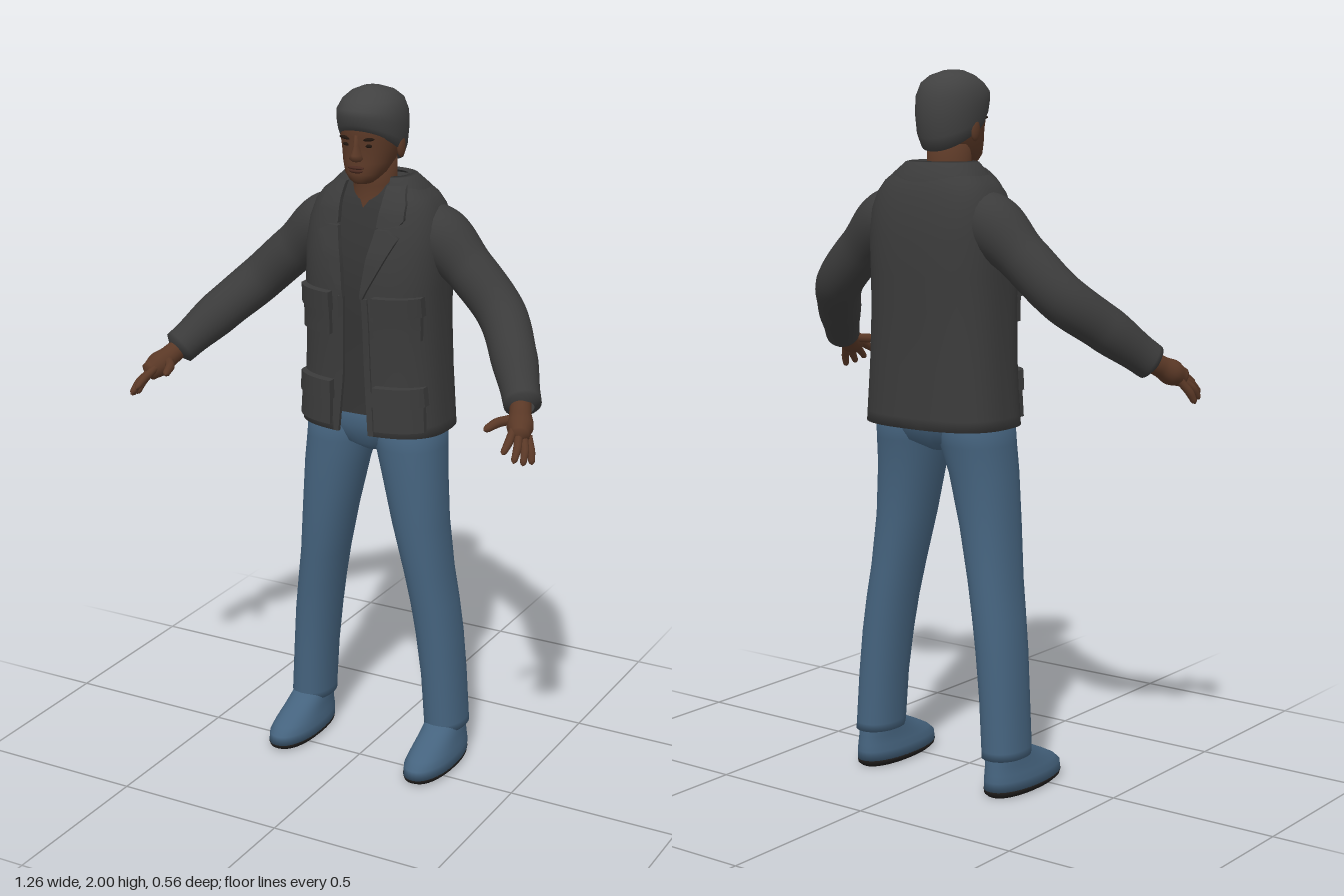
import * as THREE from 'three';
import { mergeVertices } from 'three/addons/utils/BufferGeometryUtils.js';

const mat = (name, color) => {
  const m = new THREE.MeshStandardMaterial({ color, side: THREE.DoubleSide });
  m.name = name;
  return m;
};
const M = {
  jacket: mat('jacket charcoal', 0x3b3b3b),
  shirt: mat('shirt dark grey', 0x343434),
  hair: mat('hair grey', 0x414141),
  skin: mat('skin brown', 0x5a3826),
  lips: mat('lip brown', 0x4a2a20),
  dark: mat('eye dark', 0x21160f),
  jeans: mat('denim blue', 0x45637e),
  sole: mat('sole black', 0x1d1b1a),
};
const lerp = THREE.MathUtils.lerp;

// Horizontal cross-sections: [y, centreX, halfWidth, frontZ, backZ, frontGap, tilt]
const torsoRings = [
  [1.035, 0, 0.205, 0.02, -0.26, 0.05], [1.03, 0, 0.222, 0.035, -0.278, 0.048],
  [1.06, 0, 0.22, 0.034, -0.277, 0.045], [1.2, 0, 0.211, 0.03, -0.272, 0.035],
  [1.35, 0, 0.205, 0.035, -0.271, 0.03], [1.45, 0, 0.205, 0.042, -0.275, 0.03],
  [1.55, 0, 0.208, 0.03, -0.273, 0.045], [1.62, 0, 0.202, 0.01, -0.264, 0.06],
  [1.67, 0, 0.185, -0.005, -0.25, 0.065], [1.70, 0, 0.163, -0.02, -0.237, 0.065],
  [1.73, 0, 0.125, -0.04, -0.215, 0.065], [1.75, 0, 0.09, -0.06, -0.19, 0.06],
];
const shirtGap = [0, 0, 0, 0, 0, 0, 0, 0, 0.02, 0.04, 0.055, 0.058];
const shirtRings = torsoRings.slice(2).map(([y, x, w, f, b], i) =>
  [Math.max(y, 1.085), x, w - 0.014, f - 0.014, b + 0.014, shirtGap[i + 1]]);
const headRings = [
  [1.742, 0, 0.024, 0.008, -0.06], [1.752, 0, 0.037, 0.019, -0.075], [1.77, 0, 0.054, 0.024, -0.1],
  [1.80, 0, 0.068, 0.021, -0.135], [1.84, 0, 0.078, 0.016, -0.155], [1.87, 0, 0.082, 0.022, -0.165],
  [1.91, 0, 0.083, 0.02, -0.17], [1.95, 0, 0.07, 0.0, -0.15], [1.975, 0, 0.04, -0.03, -0.11],
];

function loft(name, rings, material, { e = 1, n = 40, caps = true } = {}) {
  const all = rings.slice();
  if (caps) {
    const tip = ([y, x, , f, b]) => [y, x, 0.0005, (f + b) / 2 + 0.0005, (f + b) / 2 - 0.0005];
    all.unshift(tip(rings[0]));
    all.push(tip(rings[rings.length - 1]));
  }
  const pos = [], idx = [];
  all.forEach(([y, cx, w, f, b, gap = 0, tilt = 0]) => {
    const t0 = Math.asin(Math.min(1, (gap / w) ** (1 / e)));
    for (let i = 0; i <= n; i++) {
      const t = (i === n && !gap) ? 0 : lerp(t0, 2 * Math.PI - t0, i / n);
      const s = Math.sin(t), c = Math.cos(t);
      pos.push(cx + w * Math.sign(s) * Math.abs(s) ** e, y + tilt * c,
        (f + b) / 2 + (f - b) / 2 * Math.sign(c) * Math.abs(c) ** e);
    }
  });
  for (let j = 0; j < all.length - 1; j++) for (let i = 0; i < n; i++) {
    const a = j * (n + 1) + i, d = a + n + 1;
    idx.push(a, a + 1, d, a + 1, d + 1, d);
  }
  let g = new THREE.BufferGeometry();
  g.setAttribute('position', new THREE.Float32BufferAttribute(pos, 3));
  g.setIndex(idx);
  g = mergeVertices(g, 1e-5);
  g.computeVertexNormals();
  return named(name, g, material);
}

function named(name, geometry, material) {
  const m = new THREE.Mesh(geometry, material);
  m.name = name;
  return m;
}

// Front depth of a lofted body at (x, y)
function frontZ(rings, x, y, e) {
  let k = 1;
  while (k < rings.length - 2 && rings[k + 1][0] < y) k++;
  const a = rings[k], b = rings[k + 1];
  const t = THREE.MathUtils.clamp((y - a[0]) / (b[0] - a[0]), 0, 1);
  const [w, f, r] = [2, 3, 4].map(i => lerp(a[i], b[i], t));
  const q = Math.min(1, Math.abs(x) / w) ** (2 / e);
  return (f + r) / 2 + (f - r) / 2 * (1 - q) ** (e / 2);
}

// Cloth panel laid on the jacket front; rows are [y, innerX, outerX]
function panel(name, rows, thick, s) {
  const g = new THREE.BoxGeometry(1, 1, 1, 8, 10, 1), p = g.attributes.position;
  const y0 = rows[0][0], y1 = rows[rows.length - 1][0];
  for (let i = 0; i < p.count; i++) {
    const y = lerp(y0, y1, p.getY(i) + 0.5), u = p.getX(i) + 0.5;
    let k = 0;
    while (k < rows.length - 2 && rows[k + 1][0] < y) k++;
    const [a, b] = [rows[k], rows[k + 1]], t = (y - a[0]) / (b[0] - a[0]);
    const xi = lerp(a[1], b[1], t), xo = lerp(a[2], b[2], t);
    const x = s > 0 ? lerp(xi, xo, u) : lerp(-xo, -xi, u);
    p.setXYZ(i, x, y, frontZ(torsoRings, x, y, 0.75) - 0.006 + (p.getZ(i) + 0.5) * (thick + 0.006));
  }
  g.computeVertexNormals();
  return named(name, g, M.jacket);
}

// Tapered tube through [x, y, z, radius] points
function limb(name, pts, material, s, radial = 20, seg = 32) {
  const curve = new THREE.CatmullRomCurve3(pts.map(([x, y, z]) => new THREE.Vector3(x * s, y, z)));
  const g = new THREE.TubeGeometry(curve, seg, 1, radial), p = g.attributes.position;
  const lens = curve.getLengths(200), total = lens[200], v = new THREE.Vector3();
  const at = pts.map((_, i) => lens[Math.round(200 * i / (pts.length - 1))] / total);
  for (let i = 0; i < p.count; i++) {
    const u = Math.floor(i / (radial + 1)) / seg, c = curve.getPointAt(u);
    let k = 0;
    while (k < pts.length - 2 && at[k + 1] < u) k++;
    const r = lerp(pts[k][3], pts[k + 1][3], THREE.MathUtils.smoothstep(u, at[k], at[k + 1]));
    v.fromBufferAttribute(p, i).sub(c).multiplyScalar(r).add(c);
    p.setXYZ(i, v.x, v.y, v.z);
  }
  g.deleteAttribute('uv');
  g.deleteAttribute('normal');
  const m = mergeVertices(g, 1e-5);
  m.computeVertexNormals();
  return named(name, m, material);
}

function blob(name, material, x, y, z, sx, sy, sz, rz = 0) {
  const m = named(name, new THREE.SphereGeometry(1, 16, 10), material);
  m.position.set(x, y, z);
  m.scale.set(sx, sy, sz);
  m.rotation.z = rz;
  return m;
}

export function createModel() {
  const model = new THREE.Group();
  model.name = 'standingMan';
  const add = (...m) => model.add(...m);

  // Head, face and hair
  add(loft('head', headRings, M.skin, { e: 0.92 }),
    loft('neck', [[1.58, 0, 0.09, -0.01, -0.18], [1.64, 0, 0.085, -0.012, -0.18], [1.69, 0, 0.07, -0.028, -0.165],
      [1.73, 0, 0.06, -0.03, -0.155], [1.80, 0, 0.06, -0.03, -0.155]], M.skin),
    loft('nose', [[1.806, 0, 0.014, 0.03, -0.01], [1.814, 0, 0.02, 0.042, -0.01], [1.824, 0, 0.016, 0.04, -0.01],
      [1.85, 0, 0.009, 0.029, -0.01], [1.878, 0, 0.009, 0.024, -0.01]], M.skin, { n: 16 }),
    blob('upperLip', M.lips, 0, 1.789, 0.021, 0.025, 0.005, 0.009),
    blob('lowerLip', M.lips, 0, 1.78, 0.021, 0.021, 0.006, 0.009),
    loft('hair', [[1.835, 0, 0.083, 0.021, -0.168, 0, 0.055], [1.86, 0, 0.09, 0.031, -0.184, 0, 0.045],
      [1.90, 0, 0.094, 0.036, -0.19, 0, 0.028], [1.935, 0, 0.093, 0.035, -0.188, 0, 0.01],
      [1.965, 0, 0.081, 0.014, -0.17], [1.985, 0, 0.058, -0.014, -0.142], [1.998, 0, 0.026, -0.045, -0.1],
      [2, 0, 0.01, -0.06, -0.085]], M.hair, { e: 0.95 }));

  // Shirt, jacket body, collar band and hips
  add(loft('shirt', shirtRings, M.shirt, { e: 0.75, caps: false }),
    loft('jacketBody', torsoRings, M.jacket, { e: 0.75, n: 64, caps: false }),
    loft('collar', [[1.69, 0, 0.15, -0.02, -0.24, 0.07], [1.72, 0, 0.14, -0.03, -0.23, 0.068],
      [1.752, 0, 0.105, -0.045, -0.202, 0.064], [1.755, 0, 0.092, -0.055, -0.19, 0.062],
      [1.71, 0, 0.078, -0.05, -0.18, 0.06]], M.jacket, { e: 0.85, caps: false }),
    loft('hips', [[0.955, 0, 0.03, -0.06, -0.16], [0.985, 0, 0.11, -0.015, -0.215], [1.04, 0, 0.195, 0.002, -0.235],
      [1.12, 0, 0.185, 0.005, -0.24]], M.jeans, { e: 0.85 }));

  for (const s of [1, -1]) {
    const side = s > 0 ? 'left' : 'right';

    // Eye, brow and ear
    add(blob(side + 'Eye', M.dark, s * 0.033, 1.85, frontZ(headRings, 0.033, 1.85, 0.92), 0.012, 0.005, 0.003),
      blob(side + 'Brow', M.dark, s * 0.034, 1.868, frontZ(headRings, 0.034, 1.868, 0.92), 0.02, 0.005, 0.005, s * 0.12),
      blob(side + 'Ear', M.skin, s * 0.083, 1.838, -0.085, 0.01, 0.031, 0.018));

    // Lapel, collar leaf and flap pockets
    add(panel(side + 'Lapel', [[1.43, 0.026, 0.034], [1.54, 0.04, 0.092], [1.605, 0.055, 0.125], [1.622, 0.058, 0.09]], 0.012, s),
      panel(side + 'CollarLeaf', [[1.628, 0.06, 0.095], [1.642, 0.06, 0.132], [1.69, 0.064, 0.128], [1.735, 0.064, 0.108]], 0.012, s),
      panel(side + 'ChestPocket', [[1.315, 0.07, 0.185], [1.42, 0.07, 0.185]], 0.016, s),
      panel(side + 'ChestFlap', [[1.385, 0.065, 0.19], [1.44, 0.067, 0.188]], 0.026, s),
      panel(side + 'HipPocket', [[1.05, 0.07, 0.198], [1.16, 0.07, 0.193]], 0.016, s),
      panel(side + 'HipFlap', [[1.125, 0.065, 0.2], [1.18, 0.067, 0.195]], 0.026, s),
      panel(side + 'FrontEdge', [[1.032, 0.047, 0.064], [1.2, 0.034, 0.052], [1.43, 0.028, 0.046]], 0.006, s));

    // Sleeve and cuff
    add(limb(side + 'Sleeve', [[0.1, 1.625, -0.135, 0.07], [0.18, 1.585, -0.137, 0.086], [0.28, 1.5, -0.13, 0.07],
      [0.385, 1.4, -0.105, 0.068], [0.465, 1.315, -0.015, 0.064], [0.535, 1.23, 0.08, 0.052],
      [0.545, 1.218, 0.094, 0.051], [0.549, 1.213, 0.1, 0.03]], M.jacket, s, 24, 64));

    // Hand: palm, four fingers and thumb
    const hand = new THREE.Group();
    hand.name = side + 'Hand';
    hand.add(limb('palm', [[0.535, 1.228, 0.085, 0.028], [0.552, 1.205, 0.125, 0.03], [0.568, 1.185, 0.16, 0.036],
      [0.582, 1.168, 0.195, 0.027], [0.586, 1.163, 0.205, 0.002]], M.skin, s, 16, 24));
    const fingers = {
      indexFinger: [[0.562, 1.182, 0.19], [0.57, 1.163, 0.235], [0.572, 1.142, 0.277]],
      middleFinger: [[0.578, 1.172, 0.19], [0.592, 1.148, 0.228], [0.598, 1.118, 0.264]],
      ringFinger: [[0.588, 1.165, 0.18], [0.606, 1.138, 0.211], [0.613, 1.105, 0.237]],
      littleFinger: [[0.594, 1.162, 0.165], [0.612, 1.13, 0.185], [0.622, 1.098, 0.2]],
      thumb: [[0.55, 1.198, 0.14], [0.515, 1.193, 0.185], [0.498, 1.183, 0.235]],
    };
    for (const [name, [a, b, c]] of Object.entries(fingers)) {
      const r = name === 'thumb' ? 0.0135 : 0.0115;
      const mid = a.map((v, i) => (v + b[i]) / 2), far = b.map((v, i) => lerp(v, c[i], 0.8));
      hand.add(limb(name, [[...a, r], [...mid, r], [...b, r], [...far, r * 0.8], [...c, 0.001]], M.skin, s, 10, 16));
    }
    add(hand);

    // Trouser leg
    add(loft(side + 'Leg', [[0.108, 0.226, 0.06, -0.047, -0.212], [0.13, 0.225, 0.06, -0.045, -0.211],
      [0.27, 0.216, 0.061, -0.043, -0.208], [0.4, 0.203, 0.064, -0.036, -0.205], [0.5, 0.189, 0.065, -0.028, -0.203],
      [0.6, 0.172, 0.067, -0.018, -0.199], [0.75, 0.148, 0.078, -0.004, -0.195], [0.9, 0.126, 0.092, 0.001, -0.203],
      [0.98, 0.112, 0.1, 0.003, -0.22], [1.08, 0.1, 0.107, 0.003, -0.235]].map(([y, x, ...r]) => [y, x * s, ...r]),
    M.jeans, { e: 0.92 }));

    // Shoe and sole
    add(loft(side + 'Shoe', [[0.018, s * 0.228, 0.066, 0.104, -0.211], [0.045, s * 0.228, 0.065, 0.1, -0.212],
      [0.065, s * 0.228, 0.06, 0.075, -0.21], [0.09, s * 0.227, 0.055, 0.025, -0.207],
      [0.115, s * 0.226, 0.053, -0.03, -0.205], [0.14, s * 0.225, 0.05, -0.055, -0.2]], M.jeans, { e: 0.9 }),
      loft(side + 'Sole', [[0, s * 0.228, 0.056, 0.085, -0.2], [0.008, s * 0.228, 0.064, 0.1, -0.21],
        [0.019, s * 0.228, 0.066, 0.105, -0.212]], M.sole, { e: 0.9 }));
  }
  return model;
}
